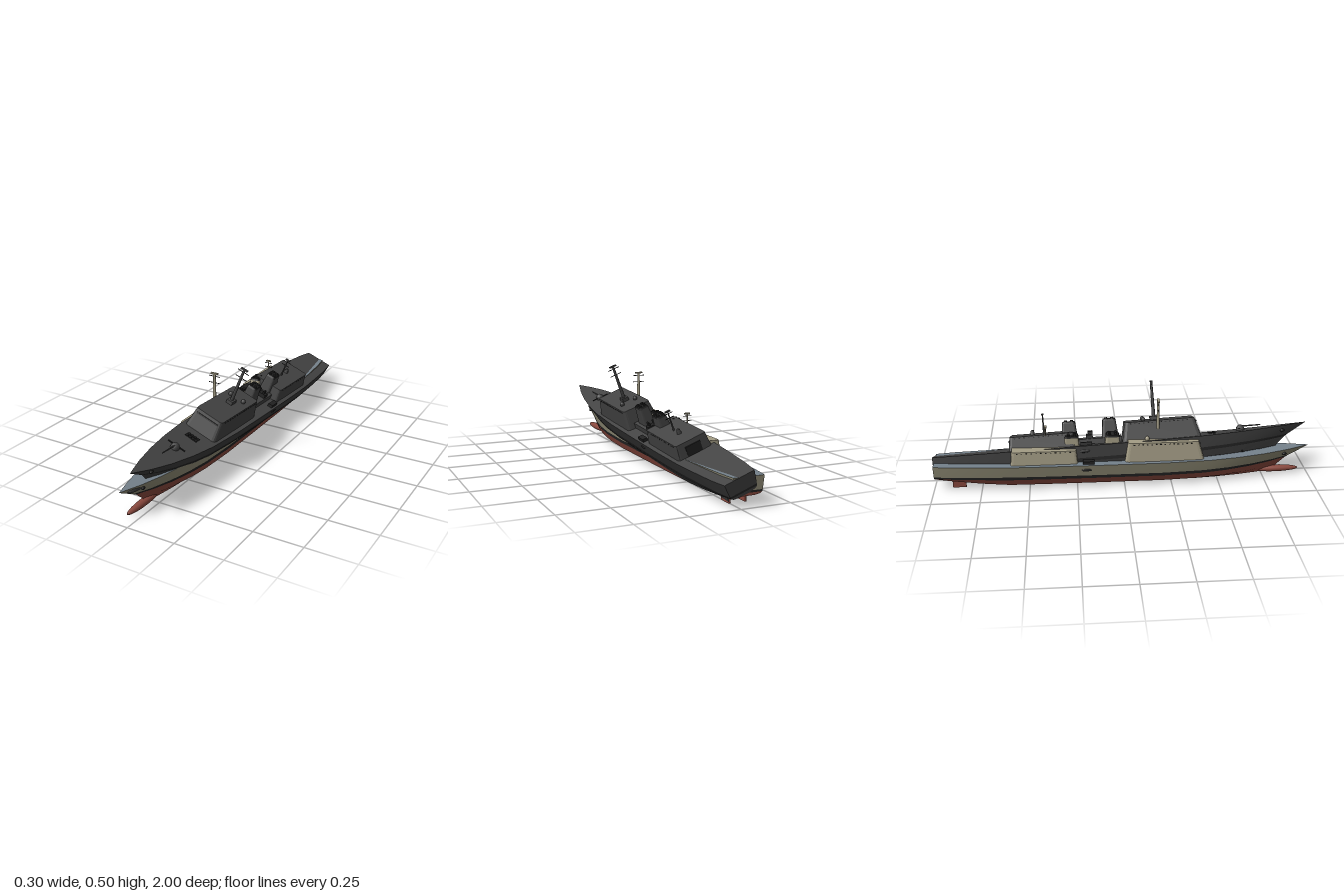
import * as THREE from 'three';
import { toCreasedNormals } from 'three/addons/utils/BufferGeometryUtils.js';

const mat = (name, color, side = THREE.FrontSide) => {
  const m = new THREE.MeshStandardMaterial({ color, side });
  m.name = name;
  return m;
};

function add(parent, name, geometry, material, x = 0, y = 0, z = 0) {
  const m = new THREE.Mesh(geometry, material);
  m.name = name;
  m.position.set(x, y, z);
  parent.add(m);
  return m;
}
const box = (w, h, l) => new THREE.BoxGeometry(w, h, l);
const cyl = (r1, r2, h, n = 10) => new THREE.CylinderGeometry(r1, r2, h, n);

// Block with rounded plan corners whose top is smaller than its base
function taperBlock(w, l, h, topW, topL, r, shift = 0) {
  const a = w / 2, b = l / 2;
  const s = new THREE.Shape();
  s.moveTo(-a + r, -b);
  s.lineTo(a - r, -b); s.quadraticCurveTo(a, -b, a, -b + r);
  s.lineTo(a, b - r); s.quadraticCurveTo(a, b, a - r, b);
  s.lineTo(-a + r, b); s.quadraticCurveTo(-a, b, -a, b - r);
  s.lineTo(-a, -b + r); s.quadraticCurveTo(-a, -b, -a + r, -b);
  const g = new THREE.ExtrudeGeometry(s, { depth: h, bevelEnabled: false, curveSegments: 3 });
  g.rotateX(-Math.PI / 2);
  const p = g.attributes.position;
  for (let i = 0; i < p.count; i++) {
    const t = p.getY(i) / h;
    p.setX(i, p.getX(i) * (1 + (topW / w - 1) * t));
    p.setZ(i, p.getZ(i) * (1 + (topL / l - 1) * t) + shift * t);
  }
  g.computeVertexNormals();
  return g;
}

// Hull stations: z and half beam at the deck
const stations = [[-0.996, 0.077], [-0.9, 0.09], [-0.75, 0.101], [-0.6, 0.11], [-0.4, 0.114],
  [-0.1, 0.115], [0.2, 0.114], [0.45, 0.105], [0.6, 0.09], [0.75, 0.066], [0.88, 0.036], [0.996, 0]];
// Hull rows from keel to deck: share of beam, height, rise at the bow, end of the stem
const rows = [
  [0, 0, 0.02, 0.80], [0.33, 0, 0.02, 0.80], [0.74, 0.024, 0.03, 0.83],
  [0.88, 0.06, 0.035, 0.875], [0.9, 0.077, 0.03, 0.895], [1, 0.14, 0.024, 0.996]];

function hullPoint(i, j) {
  const [zs, beam] = stations[i];
  const [share, height, rise, stem] = rows[j];
  const u = Math.max(0, (zs - 0.2) / 0.796);
  const z = zs > 0.2 ? 0.2 + u * (stem - 0.2) : zs;
  const lift = 0.055 * Math.pow(Math.max(0, (-0.6 - zs) / 0.396), 1.3);
  const y = height < 0.07 ? lift + height * (1 - lift / 0.07) : height;
  return [beam * share, y + rise * u * u, z];
}

// One colour band of the hull, both sides plus its part of the transom
function hullBand(j0, j1) {
  const v = [];
  const quad = (a, b, c, d) => v.push(...a, ...b, ...c, ...a, ...c, ...d);
  const flip = ([x, y, z]) => [-x, y, z];
  for (let j = j0; j < j1; j++) {
    for (let i = 0; i < stations.length - 1; i++) {
      const a = hullPoint(i, j), b = hullPoint(i + 1, j);
      const c = hullPoint(i + 1, j + 1), d = hullPoint(i, j + 1);
      quad(a, d, c, b);
      quad(flip(a), flip(b), flip(c), flip(d));
    }
    const a = hullPoint(0, j), b = hullPoint(0, j + 1);
    quad(flip(a), flip(b), b, a);
  }
  return finish(v);
}
function deckSurface() {
  const v = [], top = rows.length - 1;
  for (let i = 0; i < stations.length - 1; i++) {
    const a = hullPoint(i, top), b = hullPoint(i + 1, top);
    const c = [-a[0], a[1], a[2]], d = [-b[0], b[1], b[2]];
    v.push(...c, ...d, ...b, ...c, ...b, ...a);
  }
  return finish(v);
}
function finish(v) {
  const g = new THREE.BufferGeometry();
  g.setAttribute('position', new THREE.Float32BufferAttribute(v, 3));
  return toCreasedNormals(g, 0.4);
}

// Mast with yards
function mast(parent, name, c, y0, y1, z, r, yards, span) {
  const g = new THREE.Group();
  g.name = name;
  add(g, 'mastPole', cyl(r * 0.65, r, y1 - y0, 8), c.house, 0, (y0 + y1) / 2, z);
  add(g, 'mastHead', box(span * 0.6, 0.007, 0.012), c.house, 0, y1, z);
  for (const y of yards) add(g, 'yard', box(span, 0.003, 0.003), c.black, 0, y, z);
  parent.add(g);
}

function ship(name, c) {
  const g = new THREE.Group();
  g.name = name;
  add(g, 'lowerHull', hullBand(0, 3), c.bottom);
  add(g, 'waterlineStripe', hullBand(3, 4), c.stripe);
  add(g, 'upperHull', hullBand(4, 5), c.hull);
  add(g, 'deck', deckSurface(), c.deck);

  // Sonar dome
  const dome = add(g, 'sonarDome', new THREE.SphereGeometry(1, 16, 10), c.bottom, 0, 0.028, 0.82);
  dome.scale.set(0.021, 0.018, 0.13);

  // Superstructure blocks
  add(g, 'forwardHouse', taperBlock(0.184, 0.42, 0.105, 0.155, 0.37, 0.02, -0.006), c.house, 0, 0.136, 0.21);
  add(g, 'aftHouse', taperBlock(0.184, 0.35, 0.077, 0.165, 0.335, 0.015), c.house, 0, 0.135, -0.42);
  add(g, 'midHouse', box(0.1, 0.035, 0.24), c.house, 0, 0.152, -0.12);
  const strip = add(g, 'bridgeWindows', box(0.125, 0.008, 0.004), c.black, 0, 0.222, 0.397);
  strip.rotation.x = -0.29;
  add(g, 'hangarDoor', box(0.08, 0.05, 0.006), c.stripe, 0, 0.165, -0.593);

  // Paired fittings
  for (const s of [-1, 1]) {
    for (let i = 0; i < 14; i++) {
      add(g, 'sideWindow', box(0.004, 0.004, 0.008), c.black, s * 0.0795, 0.232, 0.05 + i * 0.023);
    }
    for (let i = 0; i < 12; i++) {
      add(g, 'sideWindow', box(0.004, 0.004, 0.008), c.black, s * 0.083, 0.204, -0.56 + i * 0.025);
    }
    add(g, 'boat', box(0.026, 0.016, 0.06), c.black, s * 0.092, 0.15, -0.19);
    const radome = add(g, 'radome', new THREE.SphereGeometry(0.012, 10, 8), c.house, s * 0.04, 0.249, 0.12);
    radome.scale.y = 1.1;
    add(g, 'rudder', box(0.008, 0.055, 0.07), c.bottom, s * 0.04, 0.0275, -0.87);
    const anchor = add(g, 'anchor', new THREE.SphereGeometry(1, 8, 6), c.black, s * 0.032, 0.13, 0.86);
    anchor.scale.set(0.007, 0.009, 0.012);
    const port = add(g, 'hullPort', new THREE.SphereGeometry(1, 10, 6), c.black, s * 0.109, 0.112, -0.2);
    port.scale.set(0.004, 0.008, 0.03);
  }

  // Funnels with black caps and twin uptakes
  for (const z of [-0.06, -0.275]) {
    add(g, 'funnel', taperBlock(0.07, 0.095, 0.12, 0.052, 0.07, 0.014), c.house, 0, 0.136, z);
    add(g, 'funnelCap', taperBlock(0.054, 0.072, 0.01, 0.048, 0.064, 0.012), c.black, 0, 0.256, z);
    for (const s of [-1, 1]) for (const t of [-1, 1]) {
      add(g, 'uptake', cyl(0.008, 0.008, 0.008), c.stripe, s * 0.012, 0.268, z + t * 0.016);
    }
  }

  // Deck gear between the funnels
  add(g, 'launcher', box(0.09, 0.02, 0.035), c.black, 0, 0.18, -0.17);
  for (const x of [-0.03, 0, 0.03]) add(g, 'launcherPost', box(0.008, 0.035, 0.025), c.black, x, 0.19, -0.165);

  // Masts
  mast(g, 'mainMast', c, 0.235, 0.445, 0.18, 0.010, [0.43, 0.395], 0.066);
  add(g, 'mastFoot', box(0.035, 0.02, 0.045), c.house, 0, 0.25, 0.18);
  mast(g, 'aftMast', c, 0.21, 0.315, -0.41, 0.005, [0.303, 0.28], 0.045);
  add(g, 'aftDirector', cyl(0.008, 0.012, 0.025), c.house, 0, 0.223, -0.47);

  // Foredeck gun and missile hatches
  const gun = add(g, 'gunHouse', new THREE.SphereGeometry(0.023, 12, 8), c.house, 0, 0.152, 0.64);
  gun.scale.y = 1.1;
  const barrel = add(g, 'gunBarrel', cyl(0.003, 0.004, 0.1, 8), c.house, 0, 0.168, 0.70);
  barrel.rotation.x = Math.PI / 2;
  add(g, 'gunArms', box(0.1, 0.004, 0.006), c.black, 0, 0.158, 0.63);
  for (let i = 0; i < 8; i++) {
    add(g, 'hatch', box(0.014, 0.005, 0.014), c.black, (i % 4 - 1.5) * 0.018, 0.146, 0.475 + 0.02 * Math.floor(i / 4));
  }
  return g;
}

export function createModel() {
  const root = new THREE.Group();
  root.name = 'twinWarships';
  const black = mat('black', 0x222222);
  const charcoal = mat('charcoal', 0x444444);
  const upright = ship('uprightShip', {
    hull: mat('tanHull', 0x8d8973), house: mat('sandHouse', 0xa39c85), deck: mat('blueGreyDeck', 0x75818b),
    bottom: mat('redBottom', 0x8a493e), stripe: black, black });
  upright.position.set(-0.038, 0, 0);

  // Dark ship, heeled over and trimmed bow up
  const darkHull = mat('darkHull', 0x3c3c3c);
  const heeled = ship('heeledShip', {
    hull: darkHull, house: charcoal, deck: charcoal, bottom: darkHull, stripe: black, black });
  heeled.position.set(-0.038, 0.065, 0);
  heeled.rotation.set(-0.055, 0, -0.37);
  root.add(upright, heeled);
  return root;
}
